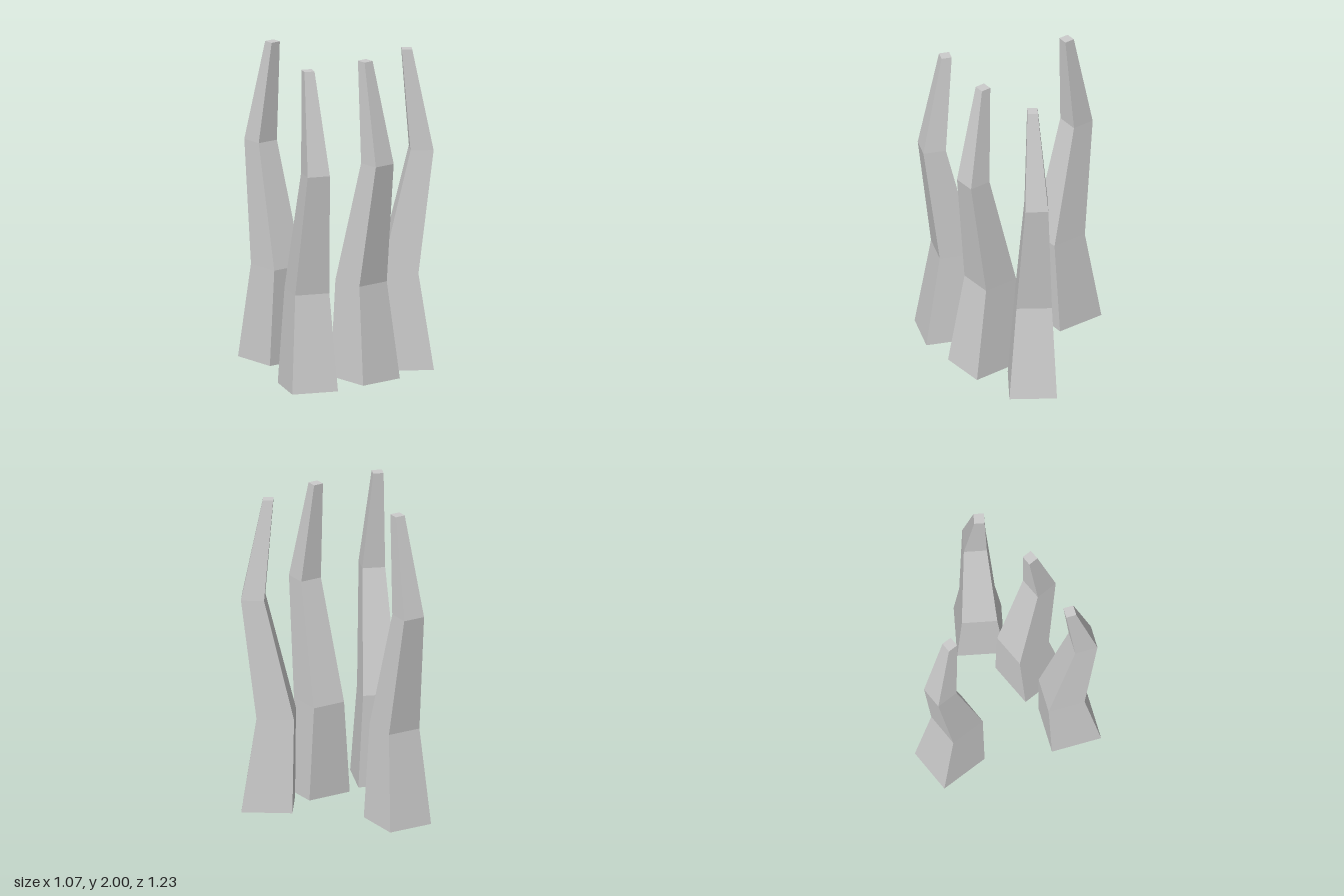
import * as THREE from 'three';

// Cross-sections of one claw: height, inner edge, outer edge, sideways centre, half width
const RINGS = [
  [0, -0.157, 0.157, 0, 0.146],
  [0.6, -0.165, 0.065, -0.009, 0.109],
  [1.365, 0.02, 0.162, -0.022, 0.071],
  [2, -0.032, 0.032, -0.001, 0.032],
];

// Base centre x, z and the turn of each claw (local +x points outward)
const CLAWS = [
  ['leftClaw', 0.37, -0.011, 0],
  ['rightClaw', -0.37, 0.112, 178.8],
  ['backClaw', 0.291, -0.407, 54.5],
  ['frontClaw', 0.334, 0.415, -23.1],
];

// A box with three tiers, each corner moved onto its cross-section
function clawGeometry() {
  const geometry = new THREE.BoxGeometry(1, 1, 1, 1, 3, 1);
  const p = geometry.attributes.position;
  for (let i = 0; i < p.count; i++) {
    const [y, inner, outer, centre, half] = RINGS[Math.round((p.getY(i) + 0.5) * 3)];
    p.setXYZ(i, p.getX(i) > 0 ? outer : inner, y, centre + Math.sign(p.getZ(i)) * half);
  }
  geometry.computeVertexNormals();
  return geometry;
}

export function createModel() {
  const model = new THREE.Group();
  model.name = 'claws';
  const geometry = clawGeometry();
  const material = new THREE.MeshStandardMaterial({ color: 0xcccccc, flatShading: true });
  for (const [name, x, z, degrees] of CLAWS) {
    const claw = new THREE.Mesh(geometry, material);
    claw.name = name;
    claw.position.set(x, 0, z);
    claw.rotation.y = THREE.MathUtils.degToRad(degrees);
    model.add(claw);
  }
  return model;
}
